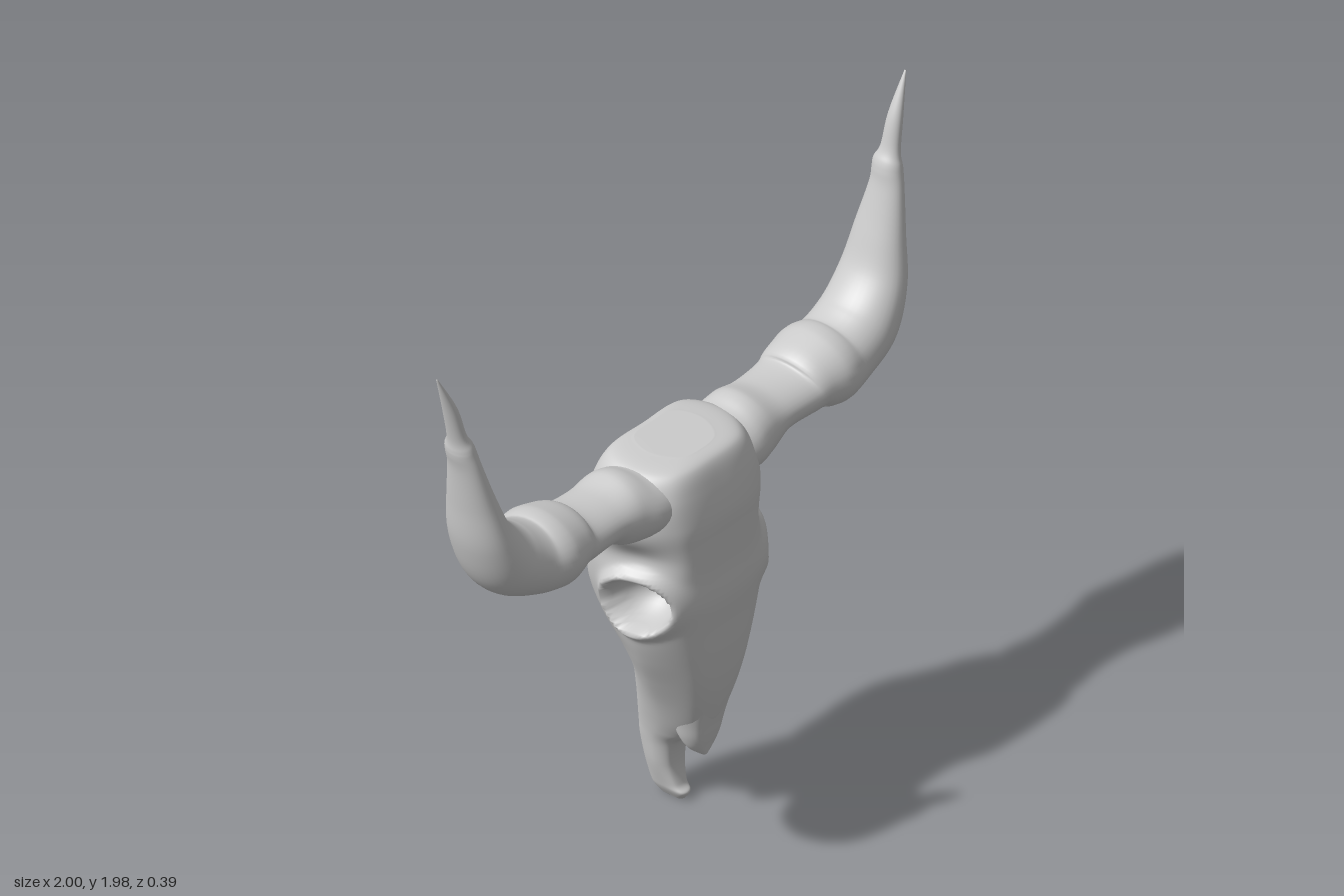
import * as THREE from 'three';

const material = new THREE.MeshStandardMaterial({ color: 0xcccccc, side: THREE.DoubleSide });

// Smooth interpolation of every column of a table at t in 0..1
function sampleRows(rows, t) {
  const f = t * (rows.length - 1);
  const i = Math.min(Math.floor(f), rows.length - 2);
  const u = f - i;
  const at = (k) => rows[Math.max(0, Math.min(rows.length - 1, k))];
  return rows[0].map((_, c) => {
    const a = at(i - 1)[c], b = at(i)[c], d = at(i + 1)[c], e = at(i + 2)[c];
    return b + 0.5 * u * (d - a + u * (2 * a - 5 * b + 4 * d - e + u * (3 * (b - d) + e - a)));
  });
}

// Closed skin over a list of rings, with both ends capped
function loft(rings, name) {
  const n = rings[0].length, m = rings.length;
  const points = rings.flat(), index = [];
  for (let i = 0; i < m - 1; i++) {
    for (let j = 0; j < n; j++) {
      const k = (j + 1) % n;
      const a = i * n + j, b = i * n + k, c = a + n, d = b + n;
      index.push(a, c, b, b, c, d);
    }
  }
  for (const end of [0, m - 1]) {
    const centre = new THREE.Vector3();
    rings[end].forEach((p) => centre.addScaledVector(p, 1 / n));
    points.push(centre);
    for (let j = 0; j < n; j++) {
      const a = end * n + j, b = end * n + (j + 1) % n;
      index.push(points.length - 1, ...(end ? [b, a] : [a, b]));
    }
  }
  const geometry = new THREE.BufferGeometry().setFromPoints(points);
  geometry.setIndex(index);
  geometry.computeVertexNormals();
  const mesh = new THREE.Mesh(geometry, material);
  mesh.name = name;
  return mesh;
}

// Horizontal section: rounded face, widest at the cheeks, narrower at the back
function skullRing([y, front, back, width, faceWidth, backWidth, cheekZ], count) {
  const depth = front - back;
  const half = [[faceWidth, front - depth * 0.08], [width, cheekZ], [backWidth, back + depth * 0.05]];
  const outline = [[0, front], ...half, [0, back], ...half.slice().reverse().map(([x, z]) => [-x, z])];
  const curve = new THREE.CatmullRomCurve3(outline.map(([x, z]) => new THREE.Vector3(x, y, z)), true);
  return Array.from({ length: count }, (_, j) => curve.getPoint(j / count));
}

// Press hollows into the sides and raise a rim around the eyes
function sculptSide(p) {
  if (Math.abs(p.x) < 0.08) return;
  const side = Math.sign(p.x);
  const d = Math.hypot((p.y - 0.815) / 0.085, (p.z - 0.045) / 0.1);
  let push = 0;
  if (d < 1) push -= 0.13 * (1 - d * d) ** 0.8;
  push += 0.024 * Math.exp(-(((d - 1.15) / 0.2) ** 2));
  const temple = Math.hypot((p.y - 0.965) / 0.055, (p.z - 0.03) / 0.1);
  push -= 0.035 * Math.exp(-temple * temple);
  p.x += side * push;
}

function buildSkull() {
  // y, front z, back z, half width, face half width, back half width, cheek z
  const rows = [
    [1.252, 0.08, -0.11, 0.11, 0.07, 0.08, -0.02],
    [1.235, 0.125, -0.14, 0.2, 0.14, 0.16, -0.01],
    [1.17, 0.155, -0.165, 0.25, 0.17, 0.2, -0.01],
    [1.08, 0.178, -0.18, 0.28, 0.17, 0.21, -0.01],
    [1.0, 0.18, -0.177, 0.27, 0.17, 0.215, -0.01],
    [0.9, 0.183, -0.178, 0.255, 0.17, 0.215, 0.01],
    [0.8, 0.193, -0.197, 0.25, 0.17, 0.19, 0.03],
    [0.7, 0.186, -0.18, 0.24, 0.155, 0.16, 0.03],
    [0.6, 0.18, -0.13, 0.208, 0.13, 0.13, 0.03],
    [0.5, 0.17, -0.107, 0.165, 0.105, 0.1, 0.02],
    [0.4, 0.15, -0.11, 0.122, 0.08, 0.08, 0.01],
    [0.31, 0.12, -0.115, 0.09, 0.055, 0.065, 0],
    [0.25, 0.065, -0.117, 0.073, 0.045, 0.055, -0.03],
    [0.2, 0.01, -0.114, 0.063, 0.04, 0.05, -0.05],
    [0.12, -0.005, -0.104, 0.053, 0.035, 0.04, -0.05],
    [0.05, 0.01, -0.09, 0.036, 0.025, 0.03, -0.04],
    [0.025, 0.03, -0.082, 0.028, 0.02, 0.024, -0.03],
    [0, 0.015, -0.065, 0.014, 0.01, 0.012, -0.025],
  ];
  const rings = [];
  for (let i = 0; i <= 170; i++) {
    const ring = skullRing(sampleRows(rows, i / 170), 112);
    ring.forEach(sculptSide);
    rings.push(ring);
  }
  return loft(rings, 'skull');
}

// Pointed nose bone overhanging the notch above the upper jaw
function buildNoseBone() {
  const rows = [
    [0.42, 0.15, 0.03, 0.1, 0.07, 0.08, 0.07],
    [0.33, 0.13, 0.02, 0.082, 0.055, 0.07, 0.06],
    [0.27, 0.118, 0.04, 0.07, 0.045, 0.055, 0.065],
    [0.23, 0.108, 0.065, 0.05, 0.03, 0.035, 0.08],
    [0.195, 0.1, 0.088, 0.01, 0.005, 0.006, 0.094],
  ];
  const rings = Array.from({ length: 25 }, (_, i) => skullRing(sampleRows(rows, i / 24), 40));
  return loft(rings, 'noseBone');
}

// Horn swept outward then upward, with swollen base ring and knob under the tip
function buildHorn(side) {
  // x, y, z, radius in the sweep plane, radius in depth
  const rows = [
    [0.08, 1.14, -0.005, 0.09, 0.13],
    [0.2, 1.14, -0.005, 0.098, 0.135],
    [0.28, 1.152, -0.01, 0.106, 0.125],
    [0.36, 1.165, -0.01, 0.073, 0.115],
    [0.47, 1.17, -0.01, 0.077, 0.122],
    [0.52, 1.183, -0.008, 0.101, 0.132],
    [0.59, 1.187, -0.006, 0.118, 0.146],
    [0.67, 1.198, -0.005, 0.108, 0.132],
    [0.765, 1.253, -0.005, 0.103, 0.127],
    [0.835, 1.365, -0.01, 0.075, 0.112],
    [0.87, 1.5, -0.015, 0.053, 0.086],
    [0.898, 1.63, -0.016, 0.037, 0.06],
    [0.909, 1.685, -0.022, 0.036, 0.052],
    [0.914, 1.71, -0.025, 0.033, 0.048],
    [0.925, 1.75, -0.025, 0.023, 0.033],
    [0.95, 1.85, -0.028, 0.019, 0.024],
    [0.998, 1.975, -0.034, 0.002, 0.003],
  ];
  const steps = 110, count = 36, rings = [];
  for (let i = 0; i <= steps; i++) {
    const [x, y, z, r, rz] = sampleRows(rows, i / steps);
    const p = sampleRows(rows, Math.max(0, i - 1) / steps);
    const q = sampleRows(rows, Math.min(steps, i + 1) / steps);
    const tx = side * (q[0] - p[0]), ty = q[1] - p[1], len = Math.hypot(tx, ty);
    const ring = [];
    for (let j = 0; j < count; j++) {
      const a = (j / count) * Math.PI * 2, c = Math.cos(a) * r;
      ring.push(new THREE.Vector3(side * x + (ty / len) * c, y - (tx / len) * c, z + Math.sin(a) * rz));
    }
    rings.push(ring);
  }
  return loft(rings, side > 0 ? 'leftHorn' : 'rightHorn');
}

export function createModel() {
  const group = new THREE.Group();
  group.name = 'hornedSkull';
  group.add(buildSkull(), buildNoseBone(), buildHorn(1), buildHorn(-1));
  return group;
}
